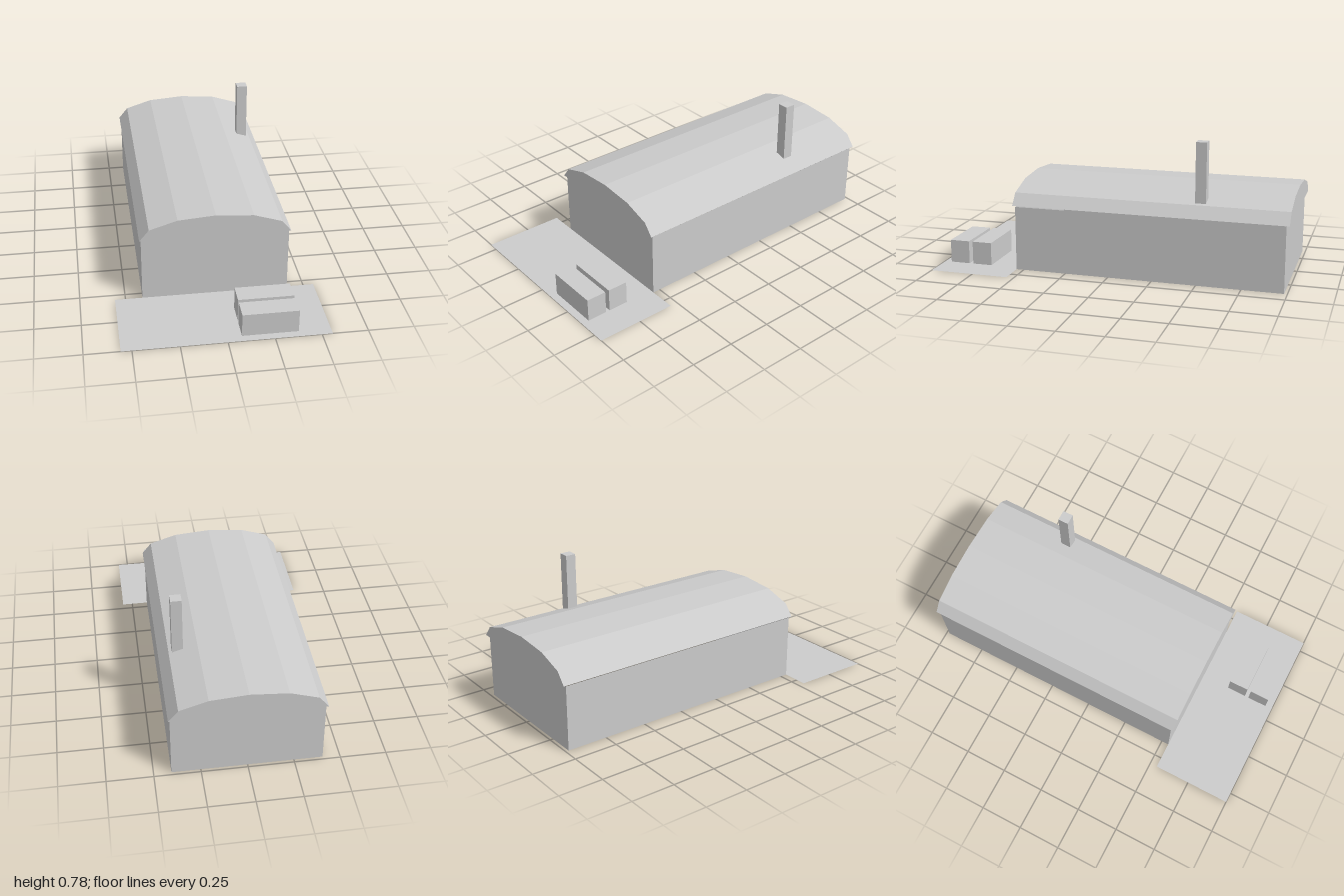
import * as THREE from 'three';

const paint = new THREE.MeshStandardMaterial({ color: 0xcccccc, side: THREE.DoubleSide });
paint.name = 'light grey';

// Flat strip of quads swept along z through a cross-section of [x, y] points
function sweep(points, z0, z1) {
  const pos = [];
  for (let i = 0; i < points.length - 1; i++) {
    const [ax, ay] = points[i], [bx, by] = points[i + 1];
    pos.push(ax, ay, z0, ax, ay, z1, bx, by, z1, ax, ay, z0, bx, by, z1, bx, by, z0);
  }
  const g = new THREE.BufferGeometry();
  g.setAttribute('position', new THREE.Float32BufferAttribute(pos, 3));
  g.computeVertexNormals();
  return g;
}

export function createModel() {
  const model = new THREE.Group();
  model.name = 'shed';
  const add = (name, geometry, x = 0, y = 0, z = 0, parent = model) => {
    const mesh = new THREE.Mesh(geometry, paint);
    mesh.name = name;
    mesh.position.set(x, y, z);
    parent.add(mesh);
    return mesh;
  };

  // Four thin walls, open above and below
  const walls = new THREE.Group();
  walls.name = 'walls';
  model.add(walls);
  const halfW = 0.406, wallH = 0.367, front = 0.543, back = -0.982;
  const length = front - back, midZ = (front + back) / 2;
  add('frontWall', new THREE.PlaneGeometry(2 * halfW, wallH), 0, wallH / 2, front, walls);
  add('backWall', new THREE.PlaneGeometry(2 * halfW, wallH), 0, wallH / 2, back, walls).rotation.y = Math.PI;
  for (const s of [-1, 1]) {
    add(s > 0 ? 'leftWall' : 'rightWall', new THREE.PlaneGeometry(length, wallH),
      s * halfW, wallH / 2, midZ, walls).rotation.y = s * Math.PI / 2;
  }

  // Faceted arched roof shell with a gable at each end
  const roof = new THREE.Group();
  roof.name = 'roof';
  model.add(roof);
  const half = [[0.415, 0.375], [0.362, 0.44], [0.207, 0.489]];
  const arch = [...half.map(([x, y]) => [-x, y]), [0, 0.505], ...half.slice().reverse()];
  const roofFront = 0.557, roofBack = -1;
  add('roofShell', sweep(arch, roofBack, roofFront), 0, 0, 0, roof);
  const gable = new THREE.ShapeGeometry(new THREE.Shape(arch.map(p => new THREE.Vector2(...p))));
  add('frontGable', gable, 0, 0, roofFront, roof);
  add('backGable', gable, 0, 0, roofBack, roof).rotation.y = Math.PI;

  // Square chimney passing through the roof
  add('chimney', new THREE.BoxGeometry(0.06, 0.415, 0.06), 0.314, 0.5745, -0.508);

  // Ground slab and two blocks standing on it
  add('slab', new THREE.PlaneGeometry(1.116, 0.457), 0, 0, 0.7715).rotation.x = -Math.PI / 2;
  for (const z of [0.765, 0.902]) {
    add('block', new THREE.BoxGeometry(0.304, 0.132, 0.114), 0.232, 0.068, z);
  }
  return model;
}
